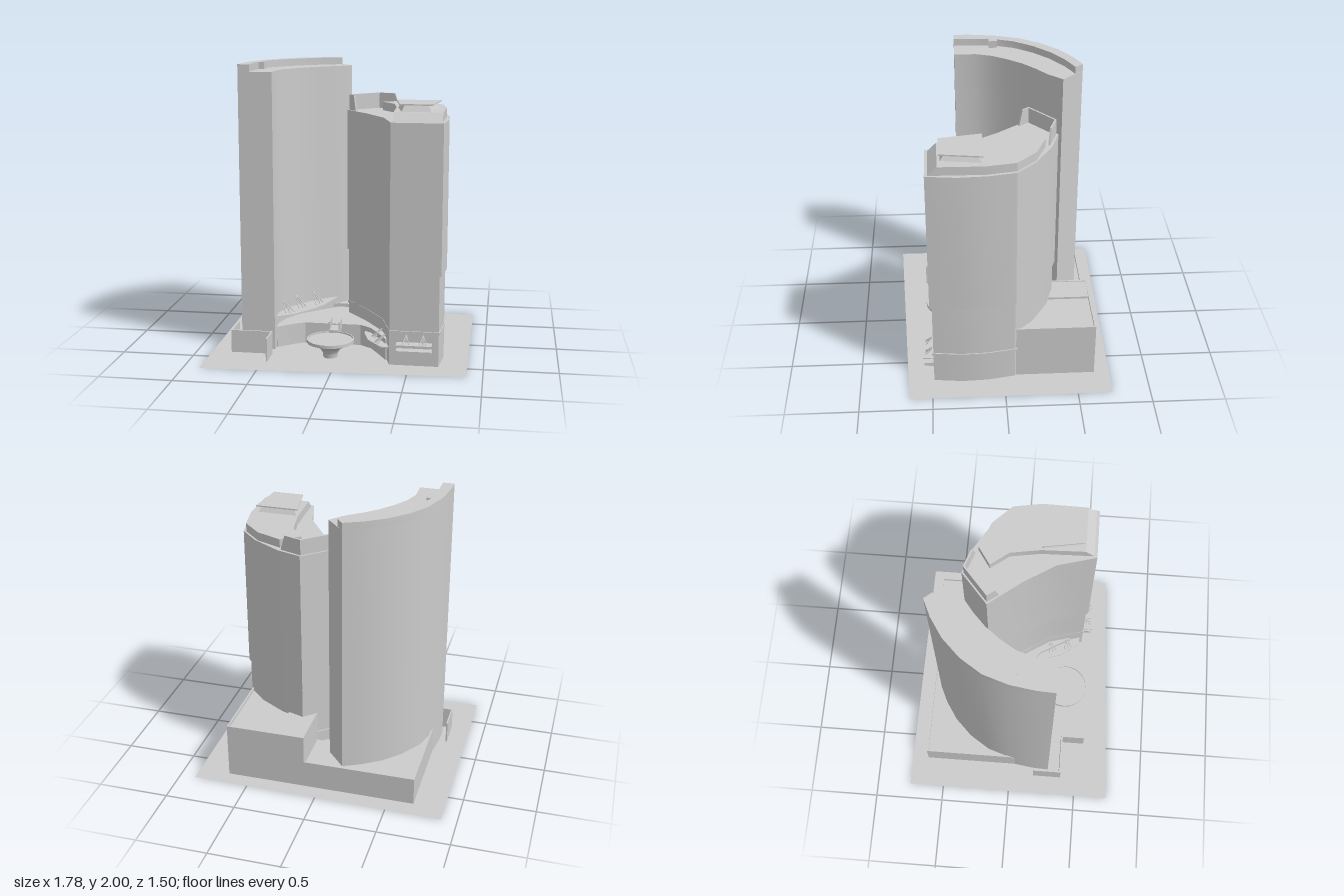
import * as THREE from 'three';
import { toCreasedNormals } from 'three/addons/utils/BufferGeometryUtils.js';

const grey = new THREE.MeshStandardMaterial({ color: 0xcccccc, side: THREE.DoubleSide });

export function createModel() {
  const model = new THREE.Group();
  const add = (name, geo) => {
    const mesh = new THREE.Mesh(geo, grey);
    mesh.name = name;
    model.add(mesh);
    return mesh;
  };

  // Upright block from a plan outline of [x, z] points
  const prism = (name, plan, y0, y1) => {
    const shape = new THREE.Shape(plan.map(([x, z]) => new THREE.Vector2(x, -z)));
    const geo = new THREE.ExtrudeGeometry(shape, { depth: y1 - y0, bevelEnabled: false });
    geo.rotateX(-Math.PI / 2).translate(0, y0, 0);
    return add(name, toCreasedNormals(geo, 0.5));
  };
  const box = (name, x0, x1, y0, y1, z0, z1) => {
    const geo = new THREE.BoxGeometry(x1 - x0, y1 - y0, z1 - z0);
    return add(name, geo.translate((x0 + x1) / 2, (y0 + y1) / 2, (z0 + z1) / 2));
  };
  const scaled = (plan, s, cx, cz) => plan.map(([x, z]) => [cx + (x - cx) * s, cz + (z - cz) * s]);

  // Thin rod between two points
  const rod = (name, a, b) => {
    const p = new THREE.Vector3(...a), q = new THREE.Vector3(...b);
    const mesh = add(name, new THREE.CylinderGeometry(0.004, 0.004, p.distanceTo(q), 5));
    mesh.position.copy(p).add(q).multiplyScalar(0.5);
    mesh.quaternion.setFromUnitVectors(new THREE.Vector3(0, 1, 0), q.sub(p).normalize());
  };
  // Three struts fanning from a wall point down to a canopy
  const fan = ([x, z], angle, reach, yTop, yLow) => {
    for (const d of [-0.4, 0, 0.4]) {
      const a = angle + d;
      rod('canopyStrut', [x, yTop, z], [x + Math.cos(a) * reach, yLow, z + Math.sin(a) * reach]);
    }
  };

  // Ground sheet
  const ground = new THREE.Shape([[-0.89, 0.755], [0.89, 0.74], [0.89, -0.66], [-0.89, -0.745]]
    .map(p => new THREE.Vector2(...p)));
  add('ground', new THREE.ShapeGeometry(ground).rotateX(-Math.PI / 2));

  // Curved tower with a raised strip along its outer edge
  const outer = [[-0.7, 0.29], [-0.695, 0.17], [-0.67, 0], [-0.615, -0.17], [-0.52, -0.315],
    [-0.4, -0.435], [-0.27, -0.52], [-0.15, -0.575]];
  const parapet = [[-0.105, -0.52], [-0.23, -0.46], [-0.36, -0.37], [-0.47, -0.26],
    [-0.56, -0.13], [-0.605, 0], [-0.62, 0.15], [-0.62, 0.29]];
  const inner = [[-0.02, -0.43], [-0.11, -0.33], [-0.2, -0.26], [-0.29, -0.175], [-0.37, -0.07],
    [-0.43, 0.03], [-0.465, 0.14], [-0.465, 0.29]];
  prism('curvedTower', [...outer, ...inner], 0, 1.95);
  prism('curvedTowerParapet', [...outer, ...parapet], 1.95, 2);
  box('roofVent', -0.62, -0.57, 1.95, 2, -0.015, 0.045);

  // Angular tower: base, belt and wider upper shaft
  const plan = [[-0.022, -0.2], [0.19, -0.385], [0.36, -0.33], [0.56, -0.21], [0.69, -0.08],
    [0.725, 0.11], [0.733, 0.3], [0.71, 0.505], [0.365, 0.505], [0.29, 0.24], [0.15, 0.02]];
  const lower = scaled(plan, 0.965, 0.36, 0.06);
  prism('angularTowerBase', lower, 0, 0.63);
  prism('angularTowerBelt', scaled(plan, 0.985, 0.36, 0.06), 0.225, 0.242);
  prism('angularTowerShaft', plan, 0.63, 1.65);

  // Upper roof storey with a sloping front
  const tier = prism('roofStorey', [[0.235, -0.2], [0.36, -0.285], [0.54, -0.21], [0.67, -0.08],
    [0.705, 0.12], [0.7, 0.485], [0.375, 0.485], [0.365, 0.13], [0.33, -0.075]], 1.65, 1.71);
  const tp = tier.geometry.attributes.position;
  for (let i = 0; i < tp.count; i++) if (tp.getY(i) > 1.7 && tp.getZ(i) > 0.4) tp.setZ(i, 0.425);
  tier.geometry = toCreasedNormals(tier.geometry, 0.5);

  // Tapered plant room carrying a landing slab
  const slab = [[0.365, 0.13], [0.67, 0.13], [0.63, 0.415], [0.415, 0.415]];
  const room = prism('plantRoom', scaled(slab, 0.92, 0.52, 0.27), 1.71, 1.755);
  const rp = room.geometry.attributes.position;
  for (let i = 0; i < rp.count; i++) if (rp.getY(i) > 1.74) {
    rp.setX(i, 0.52 + (rp.getX(i) - 0.52) * 0.78);
    rp.setZ(i, 0.27 + (rp.getZ(i) - 0.27) * 0.78);
  }
  room.geometry = toCreasedNormals(room.geometry, 0.5);
  prism('landingSlab', slab, 1.753, 1.762);

  // Roof screen: upright walls whose free ends slope
  const screen = (a, b, a1, b1) => {
    const len = Math.hypot(b[0] - a[0], b[1] - a[1]);
    const s = new THREE.Shape([[0, 0], [len, 0], [len - b1, 0.11], [a1, 0.11]]
      .map(p => new THREE.Vector2(...p)));
    const mesh = add('roofScreen', new THREE.ExtrudeGeometry(s, { depth: 0.012, bevelEnabled: false }));
    mesh.position.set(a[0], 1.65, a[1]);
    mesh.rotation.y = -Math.atan2(b[1] - a[1], b[0] - a[0]);
  };
  screen([0.05, -0.125], [-0.005, -0.2], 0.03, 0);
  screen([-0.005, -0.2], [0.19, -0.37], 0, 0);
  screen([0.19, -0.37], [0.345, -0.315], 0, 0.035);

  // Podium: low terrace, raised rear part and tall rear block
  prism('podiumTerrace', [[-0.1, -0.32], [0.2, -0.3], [0.4, 0.1], [0.33, 0.4], [0.26, 0.27], [0.2, 0.17],
    [0.12, 0.11], [-0.28, 0.11], [-0.35, 0.15], [-0.46, 0.24], [-0.5, 0.1], [-0.35, -0.1]], 0, 0.15);
  prism('rearPodium', [[-0.675, -0.635], [0.12, -0.635], [0.12, -0.3], [-0.1, -0.32],
    [-0.3, -0.25], [-0.55, 0.05], [-0.675, 0.05]], 0, 0.175);
  box('rearPodiumRim', -0.675, 0.11, 0.17, 0.2, -0.635, -0.623);
  box('rearPodiumRim', -0.675, -0.663, 0.17, 0.2, -0.635, 0.02);
  box('tallPodium', 0.11, 0.67, 0, 0.38, -0.635, -0.07);
  box('tallPodiumRoof', 0.11, 0.31, 0.38, 0.395, -0.635, -0.25);
  box('tallPodiumRim', 0.11, 0.67, 0.38, 0.4, -0.635, -0.623);
  box('tallPodiumRim', 0.658, 0.67, 0.38, 0.4, -0.635, -0.07);
  box('tallPodiumRim', 0.11, 0.122, 0.38, 0.4, -0.635, -0.3);

  // Zigzag garden wall
  prism('gardenWall', [[-0.755, 0.18], [-0.745, 0.18], [-0.745, 0.375], [-0.465, 0.375], [-0.465, 0.55],
    [-0.475, 0.55], [-0.475, 0.387], [-0.755, 0.387]], 0, 0.16);

  // Round dish on a flared foot, with a footbridge
  const dish = [[0, 0], [0.05, 0], [0.052, 0.03], [0.07, 0.06], [0.11, 0.085], [0.165, 0.108],
    [0.165, 0.13], [0.158, 0.13], [0.158, 0.12], [0, 0.12]].map(p => new THREE.Vector2(...p));
  add('plazaDish', toCreasedNormals(new THREE.LatheGeometry(dish, 20), 0.5)).position.set(-0.055, 0, 0.38);
  box('bridgeDeck', -0.09, -0.02, 0.11, 0.14, 0.1, 0.23);
  for (const x of [-0.095, -0.025]) box('bridgeRail', x, x + 0.01, 0.12, 0.195, 0.1, 0.215);

  // Entrance canopies with strut fans
  prism('leftCanopy', [...inner.slice(1, 7), [-0.465, 0.24], [-0.36, 0.17], [-0.27, 0.06],
    [-0.18, -0.09]], 0.218, 0.226);
  for (const p of [[-0.45, 0.07], [-0.38, -0.06], [-0.275, -0.18]]) fan(p, 0.75, 0.09, 0.3, 0.224);

  prism('sideCanopy', [[0.16, 0.05], [0.155, 0.18], [0.2, 0.33], [0.3, 0.465], [0.37, 0.47],
    [0.3, 0.24]], 0.108, 0.116);
  for (const p of [[0.29, 0.24], [0.325, 0.36]]) fan(p, 2.75, 0.075, 0.175, 0.114);

  box('frontCanopy', 0.415, 0.655, 0.156, 0.164, 0.48, 0.565);
  for (const x of [0.48, 0.595]) fan([x, 0.49], Math.PI / 2, 0.06, 0.215, 0.162);
  // Tapered bracket below the front canopy
  const bracket = box('frontCanopyBracket', 0.415, 0.655, 0.1, 0.12, 0.48, 0.555);
  const bp = bracket.geometry.attributes.position;
  for (let i = 0; i < bp.count; i++) if (bp.getY(i) < 0.11 && bp.getZ(i) < 0.5) bp.setY(i, 0.085);
  bracket.geometry.computeVertexNormals();

  return model;
}
